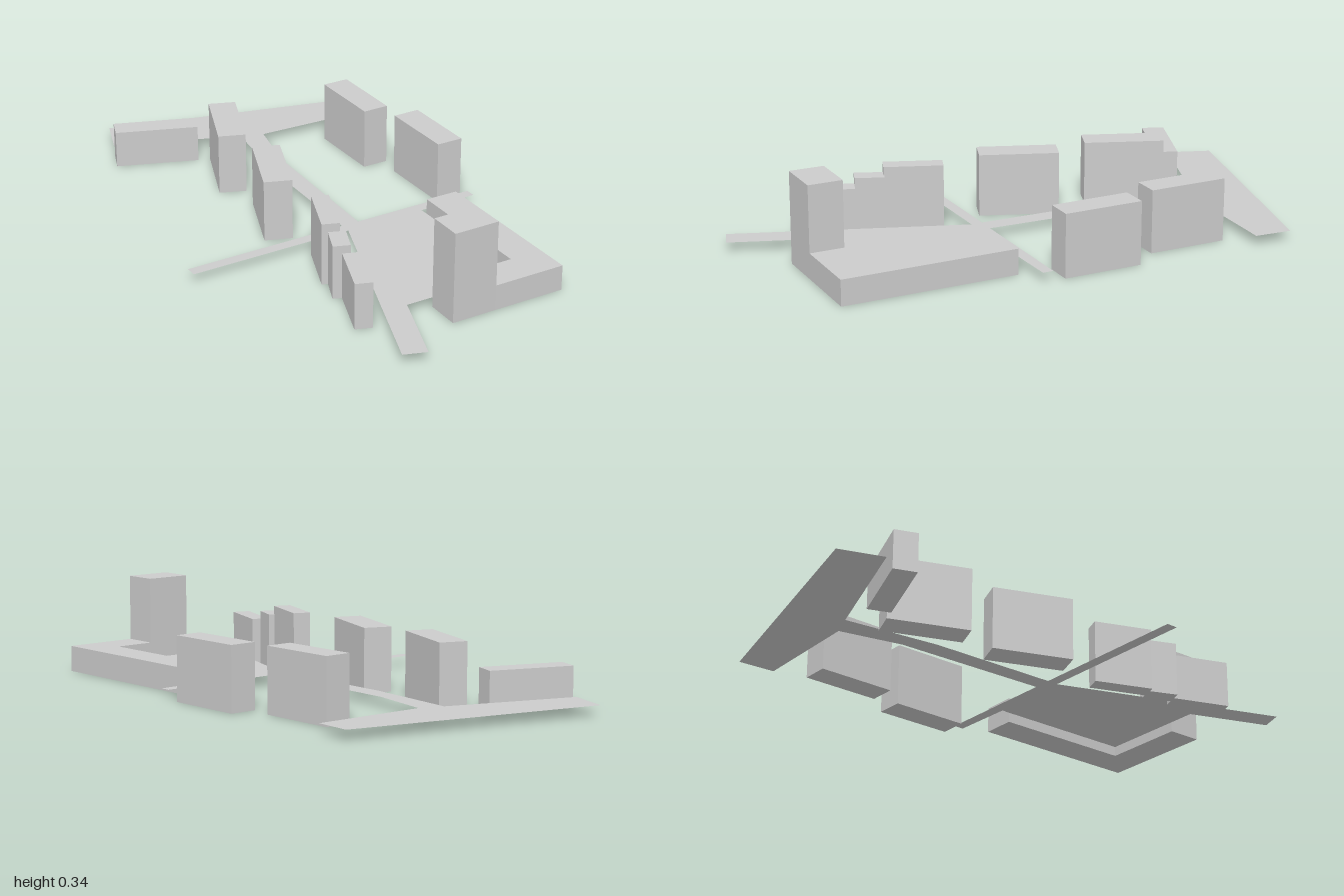
import * as THREE from 'three';

const material = new THREE.MeshStandardMaterial({ color: 0xcccccc, flatShading: true });
const groundMaterial = new THREE.MeshStandardMaterial({ color: 0xcccccc, side: THREE.DoubleSide });
const STREET_LEVEL = 0.037;

// Plan outline from [x, z] pairs; the shape's y axis becomes -z once laid flat
const outline = (points) => new THREE.Shape(points.map(([x, z]) => new THREE.Vector2(x, -z)));

// Upright block raised from a plan outline
function building(name, points, height) {
  const geometry = new THREE.ExtrudeGeometry(outline(points), { depth: height, bevelEnabled: false });
  geometry.rotateX(-Math.PI / 2);
  const mesh = new THREE.Mesh(geometry, material);
  mesh.name = name;
  return mesh;
}

export function createModel() {
  const group = new THREE.Group();
  group.name = 'cityBlock';

  // Flat sheet of streets above the base: rear avenue, winding lane, cross street, plaza, front lane
  const streets = new THREE.Mesh(new THREE.ShapeGeometry(outline([
    [-0.62, -1], [0.35, -1], [0.376, -0.863], [-0.044, -0.772], [-0.035, -0.53],
    [0.095, 0.052], [0.563, -0.07], [0.573, -0.032], [0.347, 0.032], [0.356, 0.063],
    [0.488, 0.581], [0.074, 0.685], [0.044, 1], [-0.045, 0.992], [0.04, 0.109],
    [-0.573, 0.27], [-0.584, 0.228], [0.028, 0.068], [-0.087, -0.418],
    [-0.137, -0.783], [-0.635, -0.831],
  ])).rotateX(-Math.PI / 2), groundMaterial);
  streets.name = 'streets';
  streets.position.y = STREET_LEVEL;
  group.add(streets);

  // Freestanding slabs along the streets
  const slabs = [
    ['rearLowSlab', 0.143, [[-0.636, -0.81], [-0.32, -0.775], [-0.329, -0.69], [-0.645, -0.725]]],
    ['rightRearSlab', 0.236, [[-0.283, -0.688], [-0.18, -0.676], [-0.215, -0.378], [-0.318, -0.39]]],
    ['rightMiddleSlab', 0.236, [[-0.22, -0.267], [-0.116, -0.255], [-0.15, 0.041], [-0.254, 0.03]]],
    ['leftRearSlab', 0.236, [[0.199, -0.738], [0.298, -0.763], [0.373, -0.474], [0.275, -0.449]]],
    ['leftMiddleSlab', 0.236, [[0.374, -0.38], [0.475, -0.406], [0.55, -0.116], [0.45, -0.091]]],
    // Stepped row beside the plaza
    ['rowTallHouse', 0.237, [[-0.122, 0.185], [-0.058, 0.192], [-0.083, 0.41], [-0.147, 0.403]]],
    ['rowMiddleHouse', 0.205, [[-0.124, 0.402], [-0.061, 0.409], [-0.076, 0.518], [-0.139, 0.511]]],
    ['rowLowHouse', 0.175, [[-0.106, 0.514], [-0.043, 0.521], [-0.064, 0.738], [-0.128, 0.732]]],
  ];
  for (const [name, height, points] of slabs) group.add(building(name, points, height));

  // L-shaped building: low wing and the tower at its end
  const corner = new THREE.Group();
  corner.name = 'cornerBuilding';
  corner.add(building('lowWing', [
    [0.356, 0.063], [0.479, 0.033], [0.644, 0.675], [0.374, 0.743], [0.342, 0.618], [0.488, 0.581],
  ], 0.096));
  corner.add(building('tower', [[0.174, 0.66], [0.342, 0.618], [0.374, 0.743], [0.205, 0.786]], 0.342));
  group.add(corner);

  return group;
}
